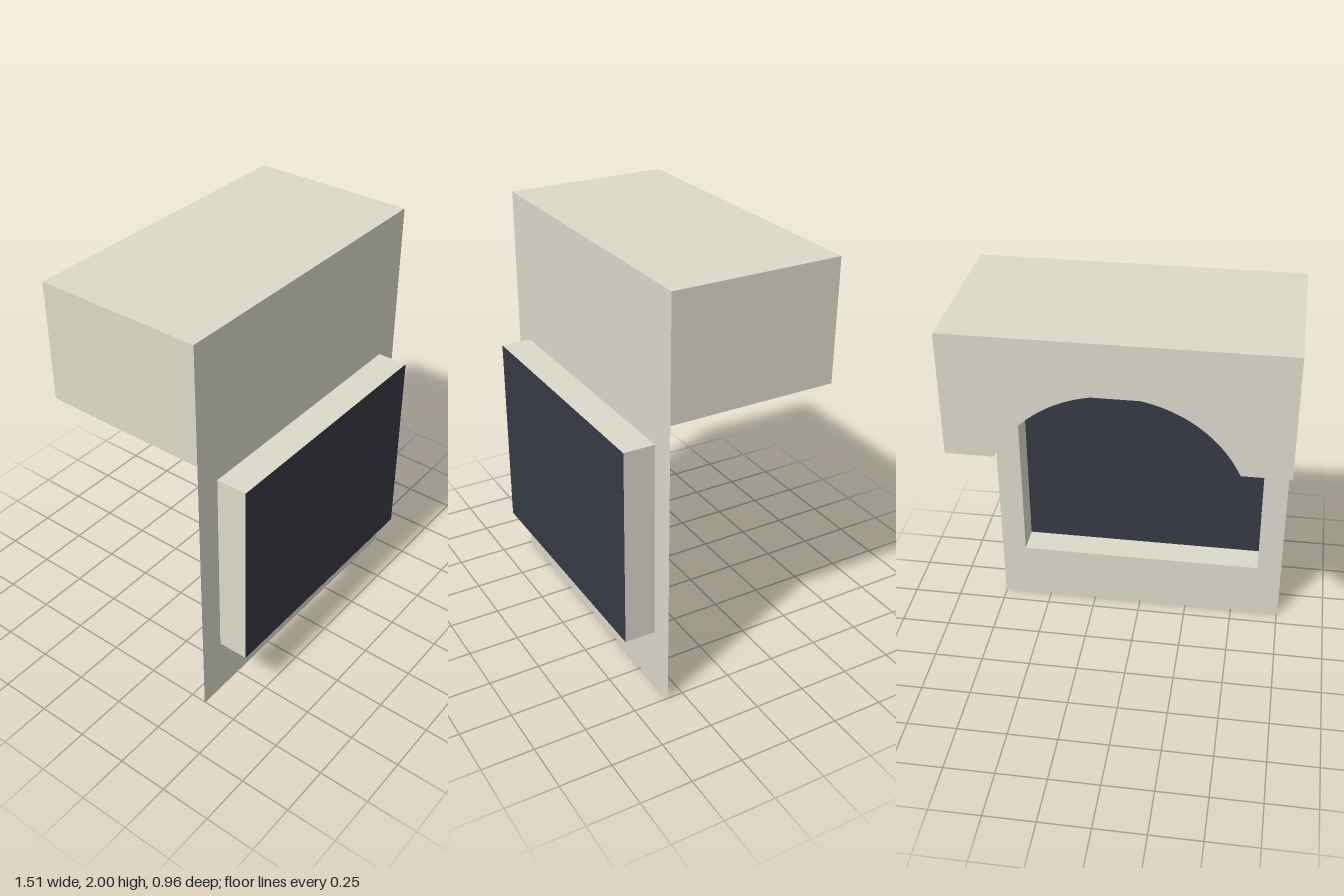
import * as THREE from 'three';
import { toCreasedNormals } from 'three/addons/utils/BufferGeometryUtils.js';

const W = 0.755, H = 2;              // panel half width and height
const BACK = -0.48, PANEL = 0.33, FRONT = 0.48;
const HOOD = 1.42;                   // underside of the hood
const SX = 0.63, SY0 = 0.3, SY1 = 1.275; // screen frame

const shell = new THREE.MeshStandardMaterial({ color: 0xdcdacb, side: THREE.DoubleSide });
const glass = new THREE.MeshStandardMaterial({ color: 0x363a44, side: THREE.DoubleSide });

function rect(hx, y0, y1) {
  return new THREE.Shape([[-hx, y0], [hx, y0], [hx, y1], [-hx, y1]].map(p => new THREE.Vector2(...p)));
}

// Extrusion from z0 to z1, leaving the ends listed in openEnds uncapped
function openPrism(shape, z0, z1, openEnds) {
  const g = new THREE.ExtrudeGeometry(shape, { depth: z1 - z0, bevelEnabled: false, curveSegments: 48 });
  g.translate(0, 0, z0);
  const p = g.attributes.position, kept = [];
  for (let i = 0; i < p.count; i += 3) {
    const capped = openEnds.some(z => [0, 1, 2].every(k => Math.abs(p.getZ(i + k) - z) < 1e-5));
    if (!capped) for (let k = 0; k < 3; k++) kept.push(p.getX(i + k), p.getY(i + k), p.getZ(i + k));
  }
  const out = new THREE.BufferGeometry();
  out.setAttribute('position', new THREE.Float32BufferAttribute(kept, 3));
  return toCreasedNormals(out, 0.5);
}

export function createModel() {
  const model = new THREE.Group();
  model.name = 'hoodedScreen';
  const add = (name, geometry, material) => {
    const mesh = new THREE.Mesh(geometry, material);
    mesh.name = name;
    model.add(mesh);
    return mesh;
  };

  // Thin front panel with the screen opening
  const panel = rect(W, 0, H);
  panel.holes.push(rect(SX, SY0, SY1));
  add('frontPanel', new THREE.ShapeGeometry(panel), shell).position.z = PANEL;

  // Hood behind the panel, with a vaulted underside
  const half = 0.535, rise = 0.34;
  const r = (half * half + rise * rise) / (2 * rise);
  const a = Math.asin(half / r);
  const hood = new THREE.Shape();
  hood.moveTo(-W, H);
  hood.lineTo(-W, HOOD);
  hood.lineTo(-half, HOOD);
  hood.absarc(0, HOOD + rise - r, r, Math.PI / 2 + a, Math.PI / 2 - a, true);
  hood.lineTo(W, HOOD);
  hood.lineTo(W, H);
  add('archedHood', openPrism(hood, BACK, PANEL, [PANEL]), shell);

  // Raised frame around the opening and the dark screen closing it
  add('screenFrame', openPrism(rect(SX, SY0, SY1), PANEL, FRONT, [PANEL, FRONT]), shell);
  add('screen', new THREE.ShapeGeometry(rect(SX, SY0, SY1)), glass).position.z = FRONT;

  return model;
}
